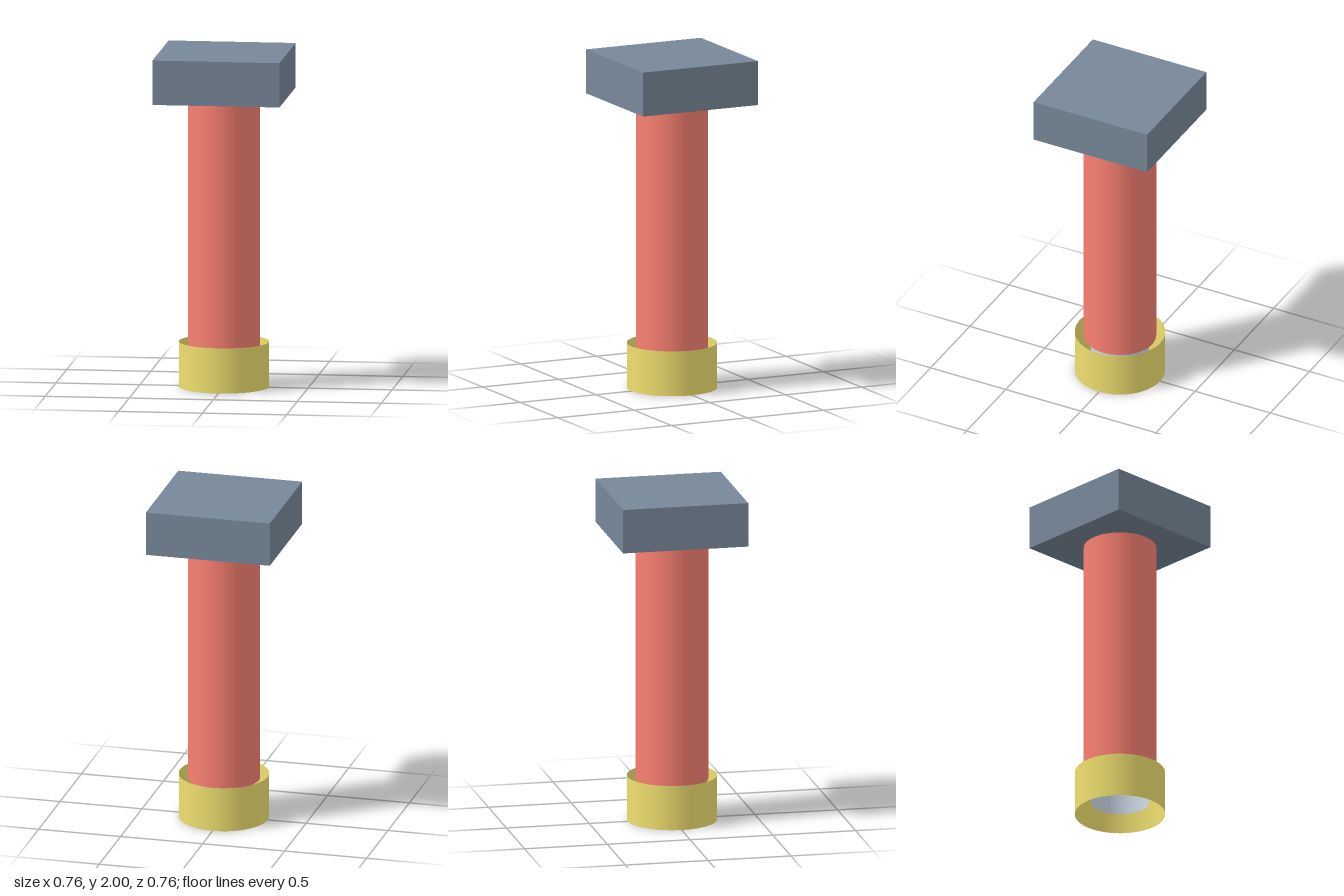
import * as THREE from 'three';

const HEAD_BOTTOM = 1.735;

// Open-ended thin-walled tube between two heights
function tube(name, radius, bottom, top, color) {
  const geometry = new THREE.CylinderGeometry(radius, radius, top - bottom, 64, 1, true);
  const mesh = new THREE.Mesh(geometry, new THREE.MeshStandardMaterial({ color, side: THREE.DoubleSide }));
  mesh.name = name;
  mesh.position.y = (bottom + top) / 2;
  return mesh;
}

export function createModel() {
  const model = new THREE.Group();
  model.name = 'cappedColumn';

  // Square head plate
  const head = new THREE.Mesh(
    new THREE.BoxGeometry(0.756, 2 - HEAD_BOTTOM, 0.756),
    new THREE.MeshStandardMaterial({ color: 0x778899 })
  );
  head.name = 'headPlate';
  head.position.y = (2 + HEAD_BOTTOM) / 2;

  model.add(
    head,
    // Main shaft, ending just inside the collar
    tube('shaft', 0.214, 0.245, HEAD_BOTTOM, 0xfa8072),
    // Inner tube, reaching down into the collar
    tube('innerTube', 0.172, 0.08, HEAD_BOTTOM, 0xd0dcea),
    // Loose foot collar
    tube('footCollar', 0.267, 0, 0.27, 0xf0e070)
  );
  return model;
}
